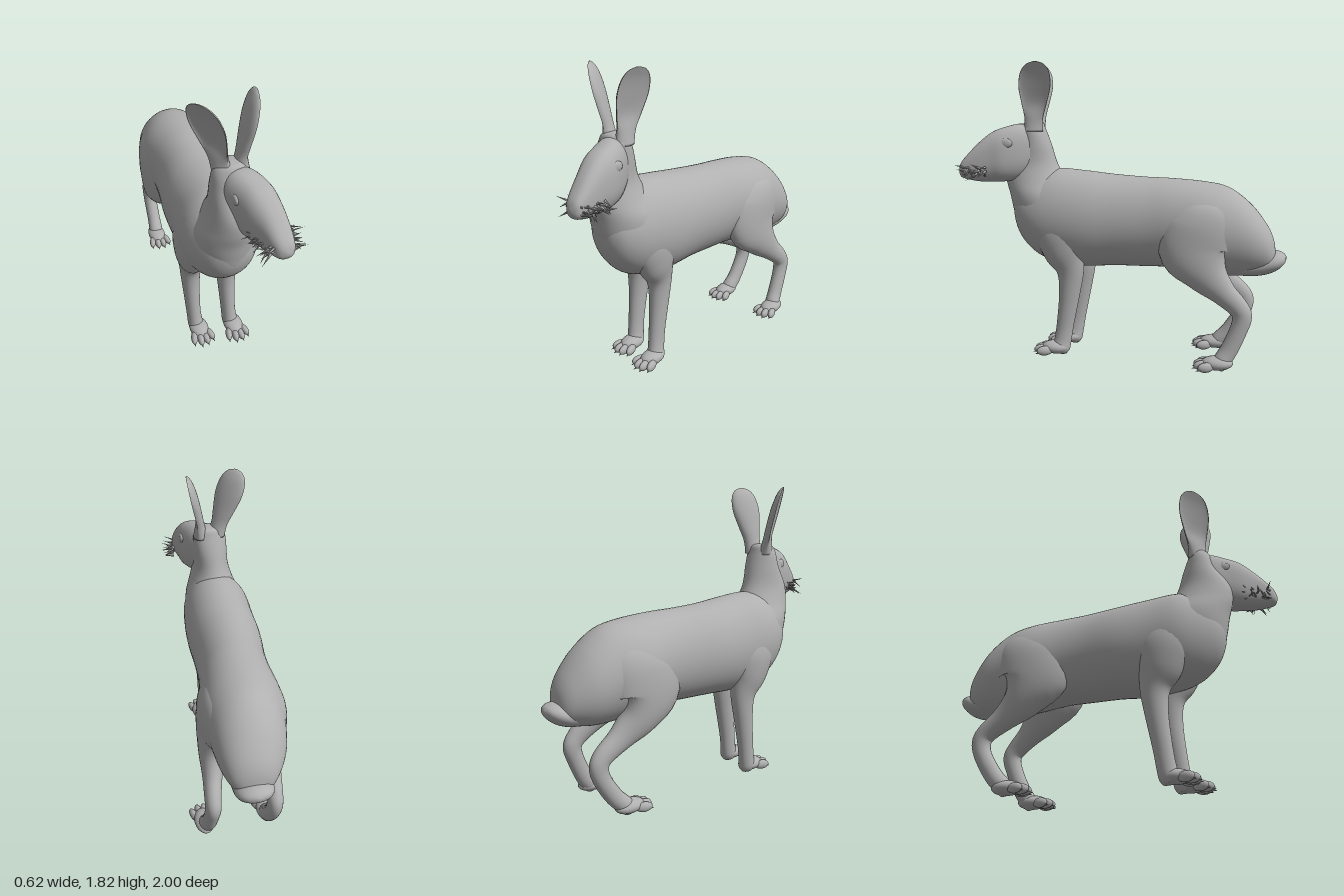
import * as THREE from 'three';

const fur = new THREE.MeshStandardMaterial({ color: 0xb0b0b0 });
fur.name = 'grey fur';
const X = new THREE.Vector3(1, 0, 0), Y = new THREE.Vector3(0, 1, 0), Z = new THREE.Vector3(0, 0, 1);
const V = (x, y, z) => new THREE.Vector3(x, y, z);

// Closed smooth skin over a list of rings, facing outwards
function loft(rings) {
  const n = rings[0].length, pos = [], idx = [];
  rings.forEach(r => r.forEach(p => pos.push(p.x, p.y, p.z)));
  for (let j = 0; j < rings.length - 1; j++) {
    for (let i = 0; i < n; i++) {
      const a = j * n + i, b = j * n + (i + 1) % n;
      idx.push(a, b, a + n, b, b + n, a + n);
    }
  }
  [0, rings.length - 1].forEach((j, end) => {
    const c = rings[j].reduce((s, p) => s.add(p), V(0, 0, 0)).divideScalar(n);
    const k = pos.length / 3;
    pos.push(c.x, c.y, c.z);
    for (let i = 0; i < n; i++) {
      const a = j * n + i, b = j * n + (i + 1) % n;
      if (end) idx.push(a, b, k); else idx.push(b, a, k);
    }
  });
  const at = i => V(pos[3 * i], pos[3 * i + 1], pos[3 * i + 2]);
  let volume = 0;
  for (let i = 0; i < idx.length; i += 3) volume += at(idx[i]).dot(at(idx[i + 1]).cross(at(idx[i + 2])));
  if (volume < 0) idx.reverse();
  const g = new THREE.BufferGeometry();
  g.setAttribute('position', new THREE.Float32BufferAttribute(pos, 3));
  g.setIndex(idx);
  g.computeVertexNormals();
  return g;
}

// Smoothly subdivides rows of numbers
function smoothRows(rows, steps) {
  const out = [], last = rows.length - 1;
  for (let j = 0; j < last; j++) {
    const [a, b, c, d] = [rows[Math.max(j - 1, 0)], rows[j], rows[j + 1], rows[Math.min(j + 2, last)]];
    for (let s = 0; s < steps; s++) {
      const t = s / steps;
      out.push(b.map((_, i) => {
        const cubic = 3 * (b[i] - c[i]) + d[i] - a[i];
        const square = 2 * a[i] - 5 * b[i] + 4 * c[i] - d[i];
        return b[i] + 0.5 * t * (c[i] - a[i] + t * (square + t * cubic));
      }));
    }
  }
  out.push(rows[last]);
  return out;
}

// Rows are [x, y, z, half width, half depth]; rings follow the spine unless "up" is fixed.
// A power below 1 makes the section squarer.
function sweep(rows, up = null, n = 32, power = 1) {
  const s = smoothRows(rows, 5);
  const bend = v => Math.sign(v) * Math.abs(v) ** power;
  return loft(s.map((r, j) => {
    const p = s[Math.max(j - 1, 0)], q = s[Math.min(j + 1, s.length - 1)];
    const u = up || V(q[0] - p[0], q[1] - p[1], q[2] - p[2]).cross(X).normalize();
    return Array.from({ length: n }, (_, i) => {
      const a = i / n * Math.PI * 2;
      return V(r[0], r[1], r[2])
        .addScaledVector(X, bend(Math.cos(a)) * Math.max(r[3], 0.003))
        .addScaledVector(u, bend(Math.sin(a)) * Math.max(r[4], 0.003));
    });
  }));
}

function add(parent, name, geometry) {
  const m = new THREE.Mesh(geometry, fur);
  m.name = name;
  parent.add(m);
  return m;
}

function ellipsoid(parent, name, p, r) {
  const m = add(parent, name, new THREE.SphereGeometry(1, 20, 14));
  m.position.set(...p);
  m.scale.set(...r);
  return m;
}

// Paw with four toes and small claws
function paw(parent, x, z, length) {
  ellipsoid(parent, 'paw', [x, 0.044, z], [0.06, 0.042, length]);
  const front = z + length * 0.7;
  for (let i = 0; i < 4; i++) {
    const s = i - 1.5, inner = Math.abs(s) < 1 ? 0.022 : 0;
    const toe = ellipsoid(parent, 'toe', [x + s * 0.034, 0.031, front + inner], [0.022, 0.03, 0.05]);
    toe.rotation.y = s * 0.2;
    const claw = add(parent, 'claw', new THREE.ConeGeometry(0.008, 0.026, 8));
    claw.position.set(x + s * 0.042, 0.016, front + inner + 0.047);
    claw.rotation.set(Math.PI / 2 + 0.2, 0, -s * 0.2);
  }
}

// The shoulder leans outwards to lie flush with the flank
function frontLeg(parent, name, x, out, dz) {
  const leg = new THREE.Group();
  leg.name = name;
  add(leg, 'foreleg', sweep([
    [x - out * 0.01, 1.0, 0.4, 0.03, 0.04], [x + out * 0.008, 0.92, 0.395, 0.075, 0.11],
    [x + out * 0.02, 0.8, 0.385, 0.091, 0.155], [x + out * 0.013, 0.66, 0.36, 0.086, 0.13],
    [x, 0.54, 0.325, 0.068, 0.088], [x, 0.4, 0.33, 0.056, 0.067], [x + 0.003, 0.2, 0.358, 0.046, 0.055],
    [x + 0.008, 0.1, 0.373, 0.046, 0.054], [x + 0.015, 0.04, 0.385, 0.05, 0.055],
    [x + 0.015, 0.008, 0.39, 0.035, 0.04]]));
  paw(leg, x + 0.02, 0.42, 0.088);
  leg.position.z = dz;
  parent.add(leg);
}

// xs lists the sideways position from hip to foot, dz shifts the hock
function hindLeg(parent, name, xs, dz) {
  const leg = new THREE.Group();
  leg.name = name;
  const rows = [
    [1.04, -0.5, 0.03, 0.06], [0.97, -0.5, 0.085, 0.16], [0.86, -0.49, 0.102, 0.215], [0.7, -0.455, 0.1, 0.225],
    [0.57, -0.515, 0.085, 0.135], [0.465, -0.61, 0.06, 0.08], [0.385, -0.695, 0.05, 0.062],
    [0.325, -0.728, 0.047, 0.058], [0.24, -0.708, 0.045, 0.052], [0.12, -0.655, 0.045, 0.052],
    [0.05, -0.61, 0.048, 0.05], [0.012, -0.59, 0.035, 0.035]];
  const shift = [0, 0, 0, 0, 0, 0.5, 1, 1, 1, 0.5, 0, 0];
  add(leg, 'thigh and shank', sweep(rows.map((r, i) => [xs[i], r[0], r[1] + dz * shift[i], r[2], r[3]])));
  paw(leg, xs[11], -0.585, 0.095);
  parent.add(leg);
}

// Cupped ear: w is its wide axis, the hollow looks towards facing
function ear(parent, name, base, tip, w, facing) {
  const rows = smoothRows([
    [0, 0.06, 0.05, 0.9], [0.2, 0.06, 0.045, 0.3], [0.4, 0.08, 0.046, -0.3], [0.65, 0.102, 0.045, -0.35],
    [0.85, 0.092, 0.036, -0.3], [0.96, 0.058, 0.02, -0.1], [1, 0.012, 0.006, 0.2]], 5);
  add(parent, name, loft(rows.map(([v, half, depth, hollow]) => {
    const c = base.clone().lerp(tip, v);
    return Array.from({ length: 32 }, (_, i) => {
      const a = i / 32 * Math.PI * 2, s = Math.sin(a);
      return c.clone().addScaledVector(w, Math.cos(a) * half).addScaledVector(facing, s * depth * (s < 0 ? 1 : hollow));
    });
  })));
}

export function createModel() {
  const hare = new THREE.Group();
  hare.name = 'hare';

  add(hare, 'body', sweep([
    [0, 0.66, -0.935, 0.02, 0.02], [0, 0.675, -0.92, 0.085, 0.09], [0, 0.705, -0.875, 0.14, 0.15],
    [-0.012, 0.75, -0.78, 0.19, 0.222], [-0.02, 0.795, -0.65, 0.217, 0.272], [-0.03, 0.82, -0.5, 0.238, 0.28],
    [-0.04, 0.84, -0.3, 0.22, 0.277], [-0.055, 0.842, -0.15, 0.213, 0.28], [-0.075, 0.848, 0.05, 0.222, 0.288],
    [-0.08, 0.855, 0.25, 0.225, 0.304], [-0.09, 0.872, 0.42, 0.22, 0.298], [-0.085, 0.88, 0.54, 0.19, 0.255],
    [-0.08, 0.895, 0.63, 0.14, 0.18], [-0.08, 0.91, 0.675, 0.08, 0.1], [-0.08, 0.92, 0.69, 0.02, 0.02]], Y, 48));

  add(hare, 'neck', sweep([
    [-0.085, 0.68, 0.42, 0.1, 0.14], [-0.085, 0.8, 0.44, 0.16, 0.225], [-0.085, 0.9, 0.465, 0.185, 0.23],
    [-0.085, 1.0, 0.5, 0.18, 0.215], [-0.085, 1.1, 0.55, 0.14, 0.19],
    [-0.085, 1.2, 0.575, 0.113, 0.16], [-0.08, 1.32, 0.56, 0.107, 0.108], [-0.076, 1.41, 0.56, 0.1, 0.075],
    [-0.074, 1.455, 0.56, 0.07, 0.055], [-0.074, 1.465, 0.56, 0.01, 0.01]], Z, 40));

  add(hare, 'head', sweep([
    [-0.075, 1.29, 0.49, 0.02, 0.03], [-0.07, 1.29, 0.53, 0.07, 0.11], [-0.045, 1.278, 0.62, 0.106, 0.168],
    [-0.008, 1.26, 0.72, 0.108, 0.168], [0.01, 1.243, 0.8, 0.096, 0.152], [0.032, 1.212, 0.88, 0.077, 0.118],
    [0.046, 1.182, 0.95, 0.06, 0.074], [0.053, 1.167, 0.985, 0.042, 0.045], [0.055, 1.162, 1.0, 0.01, 0.01]],
  Y, 40, 0.8));
  for (const s of [1, -1]) {
    ellipsoid(hare, s > 0 ? 'left eye' : 'right eye', [-0.014 + s * 0.096, 1.33, 0.7], [0.014, 0.03, 0.04]);
  }

  ear(hare, 'right ear', V(-0.12, 1.4, 0.555), V(-0.25, 1.82, 0.56), V(0.6, 0, 0.8), V(-0.8, 0, 0.6));
  ear(hare, 'left ear', V(-0.015, 1.4, 0.55), V(0.072, 1.815, 0.515), V(0.15, 0, -0.99), V(0.99, 0, 0.15));

  // Bristly whiskers on both cheeks
  let seed = 7;
  const rnd = () => (seed = (seed * 16807) % 2147483647) / 2147483647;
  const whiskers = new THREE.Group();
  whiskers.name = 'whiskers';
  hare.add(whiskers);
  for (let i = 0; i < 48; i++) {
    const s = i % 2 ? 1 : -1, z = 0.82 + rnd() * 0.15, length = 0.05 + rnd() * 0.045;
    const dir = V(s, rnd() * 1.1 - 0.75, rnd() * 1.4 - 0.6).normalize();
    const root = V(0.042 + s * (0.046 + (0.97 - z) * 0.25), 1.13 + rnd() * 0.06, z);
    const hair = add(whiskers, 'whisker', new THREE.ConeGeometry(0.008, length, 6));
    hair.position.copy(root).addScaledVector(dir, length / 2 - 0.008);
    hair.quaternion.setFromUnitVectors(Y, dir);
  }

  frontLeg(hare, 'left front leg', 0.012, 1, 0);
  frontLeg(hare, 'right front leg', -0.207, -1, -0.045);
  hindLeg(hare, 'left hind leg',
    [0.04, 0.09, 0.118, 0.128, 0.15, 0.175, 0.193, 0.198, 0.202, 0.208, 0.218, 0.225], 0);
  hindLeg(hare, 'right hind leg',
    [-0.1, -0.14, -0.17, -0.182, -0.182, -0.17, -0.162, -0.16, -0.16, -0.162, -0.168, -0.172], -0.045);

  add(hare, 'tail', sweep([
    [0.005, 0.585, -0.62, 0.08, 0.04], [0.005, 0.588, -0.75, 0.11, 0.06], [0.01, 0.606, -0.86, 0.112, 0.07],
    [0.01, 0.625, -0.935, 0.104, 0.062], [0.01, 0.638, -0.982, 0.066, 0.036], [0.01, 0.642, -1.0, 0.01, 0.01]], Y));

  return hare;
}
